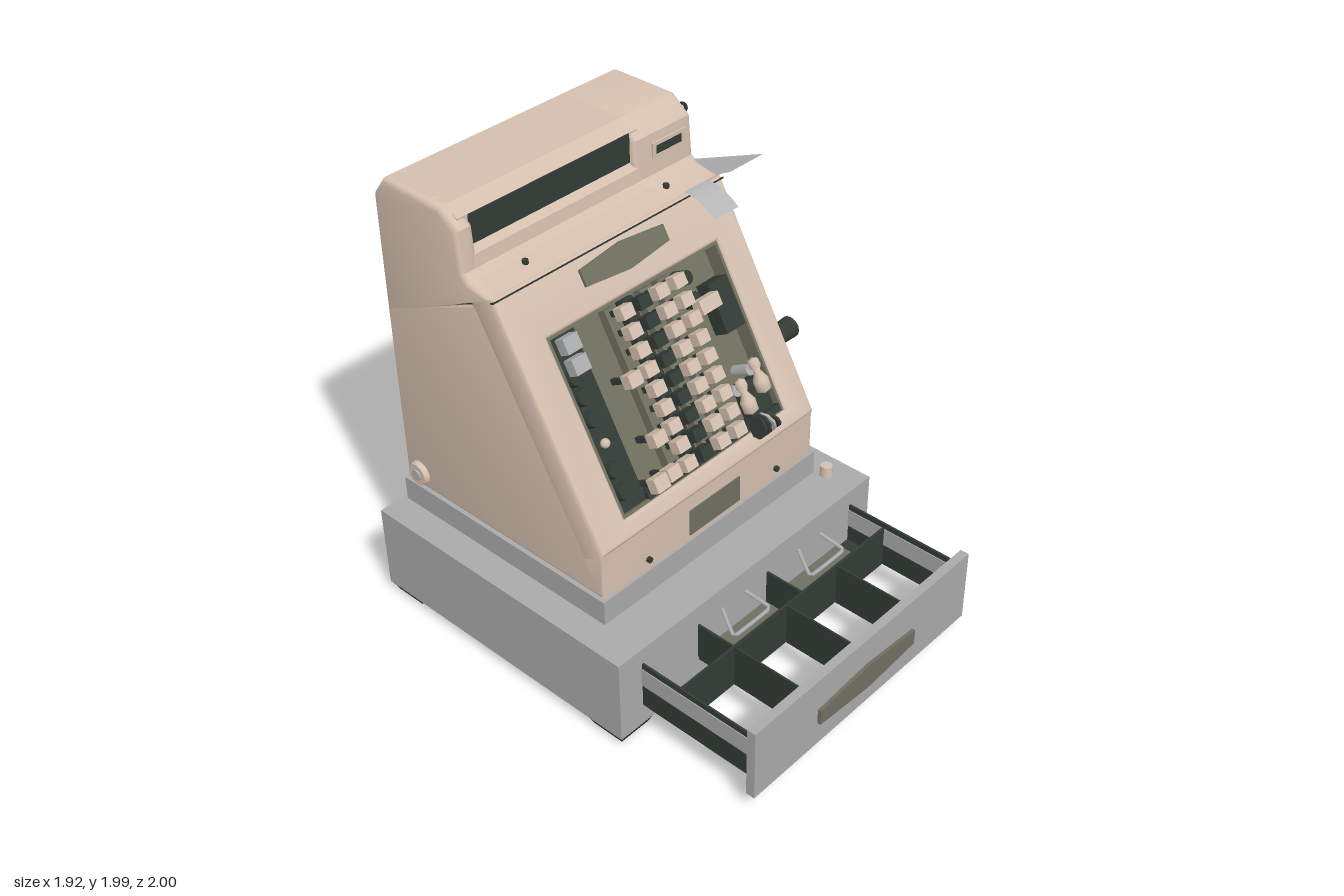
import * as THREE from 'three';
import { toCreasedNormals } from 'three/addons/utils/BufferGeometryUtils.js';

const mat = (name, color, side = THREE.FrontSide) => {
  const m = new THREE.MeshStandardMaterial({ color, side });
  m.name = name;
  return m;
};

export function createModel() {
  const beige = mat('beige enamel', 0xd4bfae);
  const grey = mat('grey enamel', 0xa9a9a9);
  const dark = mat('dark green', 0x323b35);
  const olive = mat('olive', 0x6f6f60);
  const metal = mat('metal', 0xabadaf);
  const paper = mat('paper', 0xb6b6b6, THREE.DoubleSide);

  const model = new THREE.Group();
  model.name = 'cashRegister';
  const group = (name) => {
    const g = new THREE.Group();
    g.name = name;
    model.add(g);
    return g;
  };
  const add = (parent, name, geo, material, x = 0, y = 0, z = 0) => {
    const m = new THREE.Mesh(geo, material);
    m.name = name;
    m.position.set(x, y, z);
    parent.add(m);
    return m;
  };
  // Box given by its limits
  const box = (parent, name, material, x0, x1, y0, y1, z0, z1) =>
    add(parent, name, new THREE.BoxGeometry(x1 - x0, y1 - y0, z1 - z0), material,
      (x0 + x1) / 2, (y0 + y1) / 2, (z0 + z1) / 2);
  // Cylinder lying along x, y or z; r0 at the low end, r1 at the high end
  const rod = (parent, name, material, axis, r0, r1, len, x, y, z, sides = 16) => {
    const geo = new THREE.CylinderGeometry(r1, r0, len, sides);
    if (axis === 'x') geo.rotateZ(-Math.PI / 2);
    if (axis === 'z') geo.rotateX(Math.PI / 2);
    return add(parent, name, geo, material, x, y, z);
  };
  const shapeOf = (pts) => new THREE.Shape(pts.map((p) => new THREE.Vector2(...p)));
  const rect = (x0, x1, y0, y1) => [[x0, y0], [x1, y0], [x1, y1], [x0, y1]];
  const plate = (outer, hole, depth, b = 0) => {
    const s = shapeOf(outer);
    if (hole) s.holes.push(shapeOf(hole));
    const geo = new THREE.ExtrudeGeometry(s, {
      depth: depth - 2 * b, bevelEnabled: b > 0, bevelSize: b, bevelThickness: b,
      bevelOffset: -b, bevelSegments: 3,
    });
    geo.translate(0, 0, b);
    return b ? toCreasedNormals(geo, 0.7) : geo;
  };
  // Side profile of [z, y] points swept from x0 to x1
  const sweepX = (parent, name, material, pts, x0, x1, b = 0) =>
    add(parent, name, plate(pts, null, x1 - x0, b).rotateY(-Math.PI / 2), material, x1);
  // Long six-sided badge
  const emblem = (parent, w, h, x, y, z) => add(parent, 'emblem', plate(
    [[-w, -h * 0.6], [0, -h], [w, -h * 0.6], [w, h * 0.6], [0, h], [-w, h * 0.6]], null, 0.016), olive, x, y, z);

  // Hollow base cabinet, open below inside a rim
  const base = group('base');
  box(base, 'baseTop', grey, -0.96, 0.585, 0.41, 0.435, -1, 0.39);
  box(base, 'baseBack', grey, -0.96, 0.585, 0.04, 0.41, -1, -0.97);
  box(base, 'baseFront', grey, -0.96, 0.585, 0.04, 0.41, 0.36, 0.39);
  for (const x of [-0.96, 0.555]) box(base, 'baseSide', grey, x, x + 0.03, 0.04, 0.41, -0.97, 0.36);
  const rim = add(base, 'bottomRim', plate(rect(-0.95, 0.575, -0.38, 0.99), rect(-0.84, 0.465, -0.27, 0.88), 0.015), grey, 0, 0.04, 0);
  rim.rotation.x = -Math.PI / 2;
  box(base, 'plinth', grey, -0.83, 0.45, 0.435, 0.548, -0.98, 0.19);
  rod(base, 'baseButton', beige, 'y', 0.03, 0.026, 0.05, 0.475, 0.46, 0.24);

  // Hollow tapered feet
  const footProfile = [[0.08, 0.045], [0.075, 0], [0.105, 0], [0.135, 0.045]].map((p) => new THREE.Vector2(...p));
  for (const x of [-0.865, 0.49]) for (const z of [0.295, -0.895])
    add(base, 'foot', new THREE.LatheGeometry(footProfile, 4).rotateY(Math.PI / 4), dark, x, 0, z);

  // Open drawer with coin and note compartments
  const drawer = group('drawer');
  box(drawer, 'drawerFront', grey, -0.86, 0.48, 0.07, 0.41, 0.945, 0.985);
  emblem(drawer, 0.3, 0.06, -0.19, 0.22, 0.984);
  for (const x of [-0.83, 0.455]) {
    box(drawer, 'drawerSide', dark, x - 0.005, x + 0.005, 0.14, 0.36, 0.39, 0.945);
    box(drawer, 'drawerRail', grey, x - 0.009, x + 0.009, 0.25, 0.335, 0.39, 0.945);
  }
  for (const x of [-0.51, -0.19, 0.13]) box(drawer, 'divider', dark, x - 0.004, x + 0.004, 0.14, 0.34, 0.57, 0.945);
  box(drawer, 'crossDivider', dark, -0.83, 0.455, 0.14, 0.34, 0.57, 0.582);
  box(drawer, 'trayFloor', dark, -0.51, 0.455, 0.15, 0.17, 0.39, 0.57);
  for (const x of [-0.51, -0.09]) box(drawer, 'trayDivider', dark, x - 0.005, x + 0.005, 0.17, 0.34, 0.39, 0.57);
  for (const x of [-0.3, 0.18]) {
    box(drawer, 'noteTray', olive, x - 0.18, x + 0.2, 0.17, 0.185, 0.39, 0.53);
    const clip = new THREE.CatmullRomCurve3([[-0.07, 0.33, 0.39], [-0.11, 0.27, 0.49], [0.11, 0.27, 0.49], [0.07, 0.33, 0.39]]
      .map((p) => new THREE.Vector3(...p)), false, 'catmullrom', 0.1);
    add(drawer, 'noteClip', new THREE.TubeGeometry(clip, 24, 0.009, 6), metal, x);
  }

  // Main body
  const X0 = -0.82, X1 = 0.44;
  const body = group('body');
  sweepX(body, 'bodyShell', beige, [[0.18, 0.548], [0.18, 0.785], [0.093, 0.736], [-0.417, 1.641], [-0.43, 1.647],
    [-0.97, 1.415], [-0.97, 0.548]], X0, X1, 0.02);
  sweepX(body, 'seam', dark, [[-0.326, 1.694], [-0.8, 1.492], [-0.8, 1.487], [-0.326, 1.687]], X0 + 0.001, X1 + 0.001);

  // Upper cover: solid ends, and a middle notched front and back for the amount windows
  const cover = [[-0.33, 1.692], [-0.46, 1.72], [-0.488, 1.745], [-0.5, 1.92], [-0.59, 1.99],
    [-0.91, 1.99], [-0.97, 1.91], [-0.97, 1.36]];
  const notched = [[-0.33, 1.692], [-0.46, 1.72], [-0.488, 1.745], [-0.494, 1.8], [-0.53, 1.822], [-0.53, 1.95], [-0.562, 1.968],
    [-0.59, 1.99], [-0.91, 1.99], [-0.934, 1.96], [-0.945, 1.95], [-0.945, 1.828], [-0.97, 1.815], [-0.97, 1.36]];
  sweepX(body, 'coverEnd', beige, cover, X0, -0.735, 0.025);
  sweepX(body, 'coverMiddle', beige, notched, -0.785, 0.155);
  sweepX(body, 'coverEnd', beige, cover, 0.105, X1, 0.025);
  box(body, 'frontWindow', dark, -0.735, 0.105, 1.823, 1.95, -0.531, -0.524);
  box(body, 'backWindow', dark, -0.735, 0.105, 1.829, 1.949, -0.951, -0.944);
  add(body, 'windowFrame', plate(rect(0.2, 0.39, 1.81, 1.88), rect(0.22, 0.37, 1.825, 1.865), 0.02), beige, 0, 0, -0.508);
  box(body, 'smallWindow', dark, 0.22, 0.37, 1.825, 1.865, -0.5, -0.491);
  const backEmblem = emblem(body, 0.19, 0.06, -0.3, 1.69, -0.968);
  backEmblem.rotation.y = Math.PI;
  box(body, 'namePlate', olive, -0.33, -0.03, 0.57, 0.695, 0.176, 0.185);

  // Screws
  for (const x of [-0.57, 0.2]) {
    rod(body, 'screw', dark, 'z', 0.013, 0.013, 0.02, x, 0.6, 0.185, 8);
    rod(body, 'screw', dark, 'y', 0.013, 0.013, 0.02, x, 1.717, -0.42, 8);
  }
  for (const x of [-0.52, 0.18]) for (const y of [0.61, 1.53]) rod(body, 'screw', metal, 'z', 0.015, 0.015, 0.02, x, y, -0.974, 8);

  // Sloping keyboard panel: local y runs up the slope, local z points out of it
  const panel = group('keyboard');
  panel.position.set(0, 0.785, 0.18);
  panel.rotation.x = -Math.atan2(0.51, 0.905);
  const V = (y, n = 0) => (y - 0.785 - n * 0.49) / 0.871;
  add(panel, 'panelFrame', plate(rect(X0, X1, -0.02, 1.055), rect(-0.655, 0.29, V(0.84), V(1.5)), 0.14, 0.02), beige, 0, 0, -0.14);
  add(panel, 'recessLining', plate(rect(-0.66, 0.295, V(0.836), V(1.504)), rect(-0.645, 0.28, V(0.848), V(1.492)), 0.09), olive, 0, 0, -0.1);
  box(panel, 'recessFloor', olive, -0.51, 0.285, V(0.845), V(1.495), -0.1, -0.085);
  box(panel, 'controlStrip', dark, -0.645, -0.51, V(0.845), V(1.495), -0.1, -0.03);
  box(panel, 'lowerSill', dark, -0.51, 0.28, V(0.843), V(0.87), -0.09, -0.008);
  emblem(panel, 0.23, 0.058, -0.18, V(1.62), -0.003);

  // Keys on stems
  const key = (x, y, w, h, material) => {
    const v = V(y, 0.05);
    box(panel, 'key', material, x - w / 2, x + w / 2, v - h / 2, v + h / 2, 0.012, 0.062);
    box(panel, 'keyStem', dark, x - 0.01, x + 0.01, v - 0.012, v + 0.012, -0.09, 0.012);
  };
  [-0.31, -0.215, -0.115, -0.015].forEach((x, col) => {
    for (let i = 0; i < 9; i++) key(x, 0.915 + i * 0.071, 0.062, 0.052, col === 1 ? dark : beige);
    box(panel, 'keyRail', col === 1 ? dark : olive, x - 0.03, x + 0.03, V(0.86), V(1.48), -0.09, -0.04);
  });
  for (const y of [0.92, 1.05, 1.27]) key(-0.4, y, 0.065, 0.055, beige);
  key(-0.475, 0.915, 0.07, 0.06, beige);
  key(0.085, 1.36, 0.11, 0.06, beige);
  for (const y of [1.41, 1.485]) key(-0.605, y, 0.075, 0.065, metal);
  for (const y of [0.92, 1.0, 1.19, 1.27, 1.34]) rod(panel, 'dial', dark, 'z', 0.038, 0.032, 0.03, -0.605, V(y), -0.015, 12);
  add(panel, 'pilotBead', new THREE.SphereGeometry(0.02, 12, 8), beige, -0.605, V(1.1), 0);
  for (const y of [1.36, 1.44]) rod(panel, 'dial', dark, 'z', 0.034, 0.03, 0.08, 0.08, V(y), -0.05, 12);
  box(panel, 'printerBox', dark, 0.165, 0.275, V(1.19), V(1.38), -0.09, -0.01);
  box(panel, 'lockBlock', dark, 0.14, 0.27, V(0.86), V(1.0), -0.09, -0.03);

  // Lock levers, the left one carrying a bunch of round tags
  const leverProfile = [[0, -0.08], [0.032, -0.065], [0.034, -0.02], [0.014, 0.02], [0.026, 0.045], [0.022, 0.07], [0, 0.08]]
    .map((p) => new THREE.Vector2(...p));
  for (const [x, y] of [[0.085, 1.0], [0.19, 1.04]]) {
    add(panel, 'lockLever', new THREE.LatheGeometry(leverProfile, 12), beige, x, V(y, 0.05), 0.045);
    rod(panel, 'lockBarrel', metal, 'z', 0.025, 0.025, 0.1, x, V(y), -0.04, 12);
  }
  for (let i = -1; i <= 2; i++) {
    const tag = rod(panel, 'keyTag', i === 1 ? metal : dark, 'x', 0.048, 0.048, 0.012, 0.085 + i * 0.025, V(0.9, 0.075), 0.075, 8);
    tag.rotation.z = i * 0.25;
  }

  // Right-hand side: crank, knobs and locks
  const side = group('sideFittings');
  rod(side, 'crankShaft', metal, 'x', 0.042, 0.038, 0.09, 0.485, 1.06, -0.42);
  sweepX(side, 'crankArm', metal, [[-0.37, 1.06], [-0.375, 1.095], [-0.42, 1.115], [-0.462, 1.1], [-0.468, 1.06],
    [-0.39, 0.67], [-0.36, 0.645], [-0.325, 0.67]], 0.525, 0.55);
  rod(side, 'crankPin', metal, 'x', 0.035, 0.035, 0.42, 0.75, 0.695, -0.36, 6);
  const grip = rod(side, 'crankGrip', dark, 'x', 0.036, 0.052, 0.385, 0.752, 0.695, -0.36);
  grip.rotation.z = 0.02;
  rod(side, 'sideKnobNeck', olive, 'x', 0.025, 0.025, 0.05, 0.455, 1.34, -0.36);
  rod(side, 'sideKnob', dark, 'x', 0.053, 0.046, 0.035, 0.49, 1.34, -0.36, 20);
  rod(side, 'paperKnob', metal, 'x', 0.042, 0.038, 0.06, 0.47, 1.58, -0.75, 20);
  rod(side, 'coverPin', metal, 'x', 0.012, 0.012, 0.06, 0.465, 1.9, -0.59, 8);
  rod(side, 'coverPinHead', dark, 'x', 0.025, 0.02, 0.012, 0.49, 1.9, -0.59, 10);
  rod(side, 'sideLock', beige, 'x', 0.05, 0.058, 0.025, -0.83, 0.62, -0.88, 20);
  rod(side, 'sideLockCore', metal, 'x', 0.025, 0.03, 0.03, -0.834, 0.62, -0.88, 12);

  // Receipt: flat sheet out of the side, curled tongue at the front
  const receipt = group('receipt');
  const sheet = add(receipt, 'receiptSheet', new THREE.ShapeGeometry(shapeOf(
    [[0.23, 0], [0.44, 0], [0.455, 0.04], [0.66, 0.04], [0.66, -0.49], [0.51, -0.49], [0.455, -0.06], [0.23, -0.02]]
      .map(([x, z]) => [x, -z]))), paper, 0, 1.703, -0.34);
  sheet.rotation.x = -Math.PI / 2 - Math.atan(0.42);
  const curl = new THREE.PlaneGeometry(0.14, 1, 1, 8);
  const p = curl.attributes.position;
  for (let i = 0; i < p.count; i++) {
    const t = p.getY(i) + 0.5;
    p.setXYZ(i, p.getX(i) + 0.295, 1.703 - 0.06 * t * t + 0.02 * t * (1 - t), -0.35 + 0.17 * t);
  }
  curl.computeVertexNormals();
  add(receipt, 'receiptCurl', curl, paper);

  return model;
}
